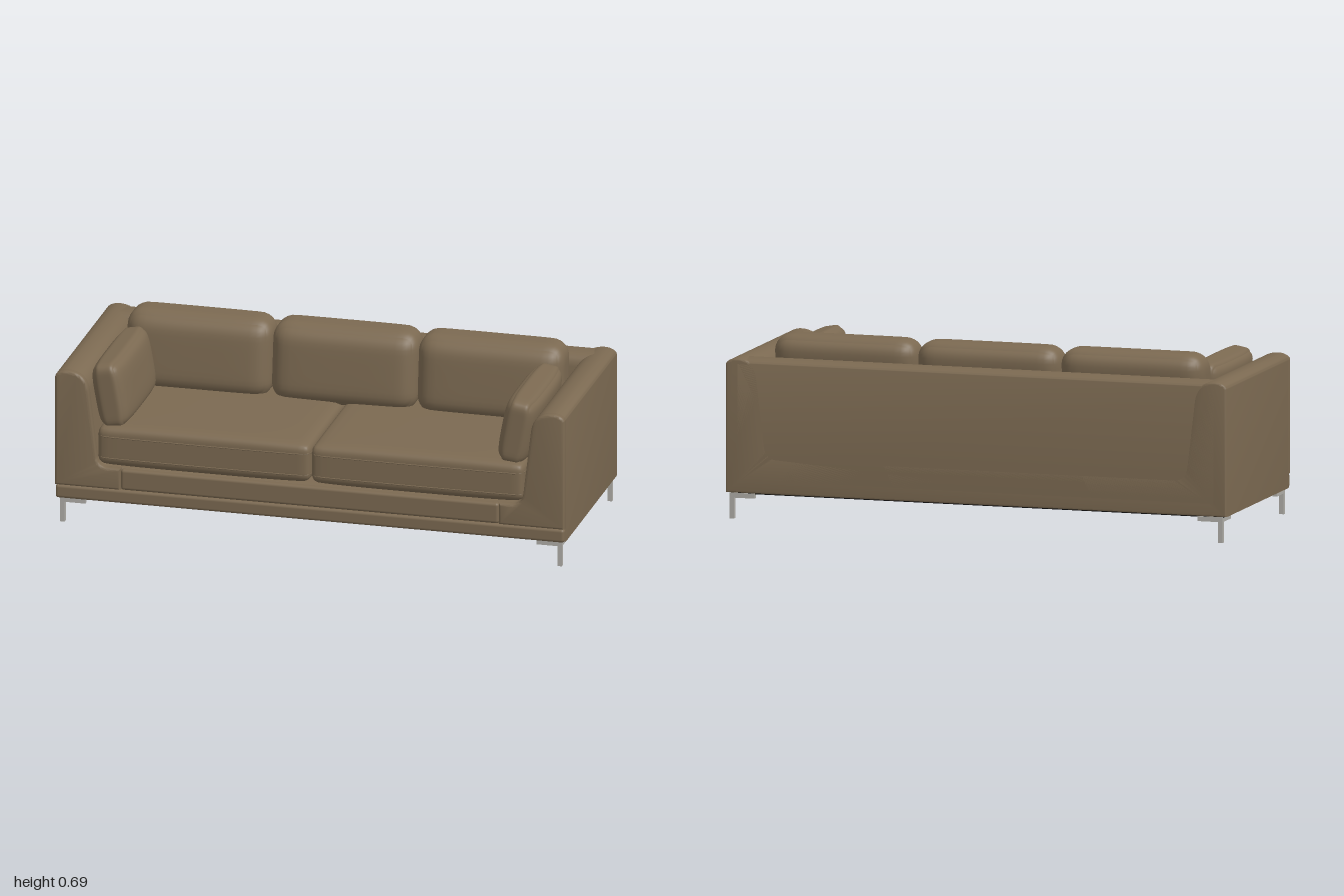
import * as THREE from 'three';
import { mergeVertices, toCreasedNormals } from 'three/addons/utils/BufferGeometryUtils.js';
import { RoundedBoxGeometry } from 'three/addons/geometries/RoundedBoxGeometry.js';

const fabric = new THREE.MeshStandardMaterial({ color: 0x7b6951 });
fabric.name = 'brown fabric';
const metal = new THREE.MeshStandardMaterial({ color: 0xb0aea8 });
metal.name = 'brushed metal';
const lining = new THREE.MeshStandardMaterial({ color: 0x111111 });
lining.name = 'black lining';

function add(parent, name, geometry, material, x = 0, y = 0, z = 0) {
  const mesh = new THREE.Mesh(geometry, material);
  mesh.name = name;
  mesh.position.set(x, y, z);
  parent.add(mesh);
  return mesh;
}

// Extrusion from z0 to z1 with softened edges that stay inside the outline
function softExtrude(shape, z0, z1, bevel) {
  const geo = new THREE.ExtrudeGeometry(shape, {
    depth: z1 - z0 - 2 * bevel, curveSegments: 10, bevelEnabled: true,
    bevelSize: bevel, bevelThickness: bevel, bevelOffset: -bevel, bevelSegments: 3,
  });
  geo.translate(0, 0, z0 + bevel);
  return toCreasedNormals(geo, 0.6);
}

// Rounded pillow: thickness along one axis thins towards the edges
function cushion(size, r, axis, crown) {
  let geo = new THREE.BoxGeometry(2, 2, 2, 20, 20, 20);
  geo.deleteAttribute('uv');
  geo.deleteAttribute('normal');
  geo = mergeVertices(geo);
  const pos = geo.attributes.position;
  const others = [0, 1, 2].filter((i) => i !== axis);
  for (let i = 0; i < pos.count; i++) {
    const unit = [pos.getX(i), pos.getY(i), pos.getZ(i)]
      .map((v) => Math.sign(v) * (1 - Math.pow(1 - Math.abs(v), 1.8)));
    const p = unit.map((v, k) => v * size[k] / 2);
    const inner = p.map((v, k) => THREE.MathUtils.clamp(v, r - size[k] / 2, size[k] / 2 - r));
    const d = new THREE.Vector3(...p.map((v, k) => v - inner[k])).setLength(r);
    const q = [inner[0] + d.x, inner[1] + d.y, inner[2] + d.z];
    const [a, b] = others.map((k) => Math.abs(unit[k]));
    q[axis] *= 1 - crown * Math.min(1, (a ** 4 + b ** 4) / 1.5);
    pos.setXYZ(i, ...q);
  }
  geo.computeVertexNormals();
  return geo;
}

// Thin seam around a rounded rectangle lying in the xz plane
function seam(w, d, r) {
  const pts = [];
  [[1, 1], [-1, 1], [-1, -1], [1, -1]].forEach(([sx, sz], c) => {
    for (let k = 0; k <= 4; k++) {
      const a = (c + k / 4) * Math.PI / 2;
      pts.push(new THREE.Vector3(
        sx * (w / 2 - r) + r * Math.cos(a), 0, sz * (d / 2 - r) + r * Math.sin(a)));
    }
  });
  const path = new THREE.CatmullRomCurve3(pts, true, 'centripetal');
  return new THREE.TubeGeometry(path, 100, 0.0025, 6, true);
}

// Arm outline from outer top over the crown and down to the seat corner
function armCurve(shape, s) {
  shape.lineTo(s, 0.59);
  shape.bezierCurveTo(s, 0.605, s * 0.975, 0.617, s * 0.95, 0.616);
  shape.bezierCurveTo(s * 0.9, 0.614, s * 0.872, 0.59, s * 0.867, 0.53);
  shape.lineTo(s * 0.838, 0.285);
  shape.quadraticCurveTo(s * 0.833, 0.24, s * 0.79, 0.24);
}

export function createModel() {
  const sofa = new THREE.Group();
  sofa.name = 'sofa';

  // Base and arms in one U-shaped frame
  const frame = new THREE.Shape();
  frame.moveTo(-1, 0.1);
  frame.lineTo(1, 0.1);
  armCurve(frame, 1);
  frame.lineTo(-0.79, 0.24);
  frame.quadraticCurveTo(-0.833, 0.24, -0.838, 0.285);
  frame.lineTo(-0.867, 0.53);
  frame.bezierCurveTo(-0.872, 0.59, -0.9, 0.614, -0.95, 0.616);
  frame.bezierCurveTo(-0.975, 0.617, -1, 0.605, -1, 0.59);
  add(sofa, 'frame', softExtrude(frame, -0.397, 0.378, 0.008), fabric);

  // Backrest with a sloping inner face
  const back = new THREE.Shape();
  back.moveTo(-0.397, 0.15);
  back.lineTo(-0.397, 0.595);
  back.quadraticCurveTo(-0.395, 0.608, -0.375, 0.611);
  back.lineTo(-0.31, 0.614);
  back.quadraticCurveTo(-0.275, 0.61, -0.268, 0.57);
  back.lineTo(-0.24, 0.24);
  back.lineTo(-0.24, 0.15);
  const backGeo = new THREE.ExtrudeGeometry(back, { depth: 1.9, bevelEnabled: false, curveSegments: 8 });
  backGeo.translate(0, 0, -0.95).rotateY(-Math.PI / 2);
  add(sofa, 'backrest', toCreasedNormals(backGeo, 0.6), fabric);

  // Padded front: lower strip, centre rail and one panel per arm
  add(sofa, 'lowerStrip', new RoundedBoxGeometry(1.998, 0.054, 0.05, 4, 0.012), fabric, 0, 0.1275, 0.369);
  add(sofa, 'frontRail', new RoundedBoxGeometry(1.484, 0.083, 0.05, 4, 0.012), fabric, 0, 0.197, 0.371);
  for (const s of [-1, 1]) {
    const panel = new THREE.Shape();
    panel.moveTo(s * 0.743, 0.155);
    panel.lineTo(s, 0.155);
    armCurve(panel, s);
    panel.lineTo(s * 0.743, 0.24);
    add(sofa, 'armFrontPanel', softExtrude(panel, 0.36, 0.398, 0.01), fabric);
  }

  // Seat cushions with seams near the top and bottom
  const seatGeo = cushion([0.836, 0.172, 0.64], 0.035, 1, 0.1);
  const seamGeo = seam(0.836, 0.64, 0.035);
  for (const s of [-1, 1]) {
    const seat = new THREE.Group();
    seat.name = 'seat';
    seat.position.set(s * 0.419, 0.324, 0.072);
    add(seat, 'seatCushion', seatGeo, fabric);
    add(seat, 'upperSeam', seamGeo, fabric, 0, 0.04, 0);
    add(seat, 'lowerSeam', seamGeo, fabric, 0, -0.045, 0);
    sofa.add(seat);
  }

  // Three leaning back cushions
  const backCushion = cushion([0.572, 0.308, 0.194], 0.066, 2, 0.2);
  backCushion.applyMatrix4(new THREE.Matrix4().set(
    1, 0, 0, 0, 0, 1, 0, 0, 0, -0.12, 1, 0, 0, 0, 0, 1));
  backCushion.computeVertexNormals();
  for (const i of [-1, 0, 1]) {
    add(sofa, 'backCushion', backCushion, fabric, i * 0.572, 0.54, -0.176);
  }

  // Loose cushions leaning on the arms
  const armCushion = cushion([0.138, 0.255, 0.48], 0.035, 0, 0.38);
  for (const s of [-1, 1]) {
    const mesh = add(sofa, 'armCushion', armCushion, fabric, s * 0.797, 0.515, 0.13);
    mesh.rotation.z = -s * 0.18;
  }

  // Dark lining under the base
  add(sofa, 'underside', new THREE.BoxGeometry(1.97, 0.004, 0.755), lining, 0, 0.0985, -0.009);

  // Corner legs: a post with two bracket arms
  for (const sx of [-1, 1]) {
    for (const sz of [-1, 1]) {
      const leg = new THREE.Group();
      leg.name = 'leg';
      leg.position.set(sx * 0.976, 0, sz * 0.373 - 0.009);
      add(leg, 'post', new THREE.BoxGeometry(0.018, 0.1, 0.018), metal, 0, 0.05, 0);
      add(leg, 'sideBracket', new THREE.BoxGeometry(0.082, 0.019, 0.018), metal, -sx * 0.05, 0.0895, 0);
      add(leg, 'depthBracket', new THREE.BoxGeometry(0.018, 0.019, 0.082), metal, 0, 0.0895, -sz * 0.05);
      sofa.add(leg);
    }
  }
  return sofa;
}
